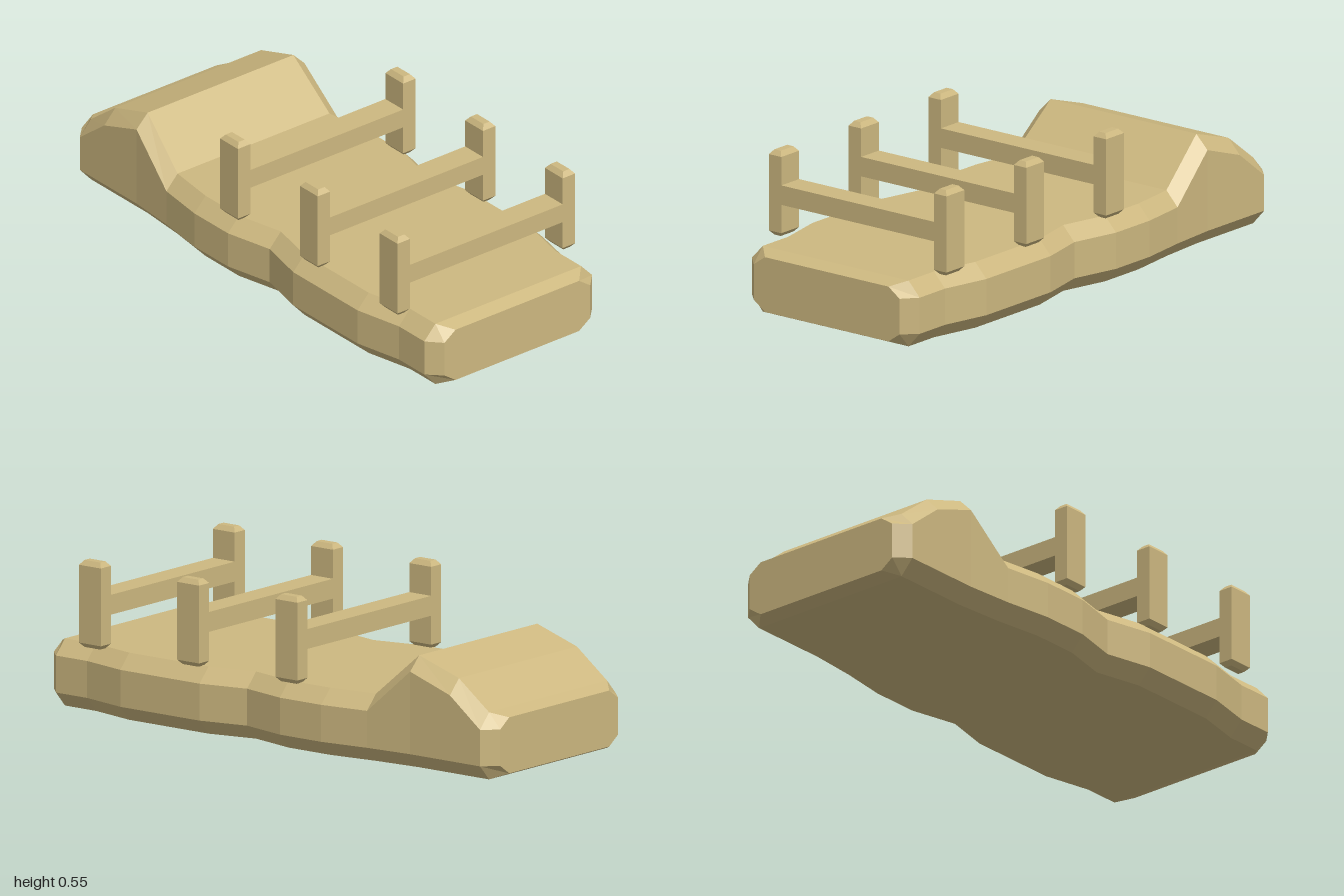
import * as THREE from 'three';

const material = new THREE.MeshStandardMaterial({ color: 0xcdb880, flatShading: true });

// Skin a list of equal-sized rings (counter-clockwise seen from the end they advance to) and cap both ends.
function loft(rings) {
  const n = rings[0].length, last = rings.length - 1, index = [];
  for (let r = 0; r < last; r++) {
    for (let i = 0; i < n; i++) {
      const a = r * n + i, b = r * n + (i + 1) % n;
      index.push(a, b, b + n, a, b + n, a + n);
    }
  }
  for (let i = 1; i < n - 1; i++) {
    index.push(0, i + 1, i);
    index.push(last * n, last * n + i, last * n + i + 1);
  }
  const g = new THREE.BufferGeometry();
  g.setAttribute('position', new THREE.Float32BufferAttribute(rings.flat(2), 3));
  g.setIndex(index);
  const flat = g.toNonIndexed();
  flat.computeVertexNormals();
  return flat;
}

// Chamfered slab section at depth z: half width, top height, shoulder height, bottom height
function slabSection([z, w, top, shoulder, bottom = 0]) {
  const c = 0.05, low = 0.055;
  return [
    [w - c, bottom, z], [w, low, z], [w, shoulder, z], [w - c, top, z],
    [c - w, top, z], [-w, shoulder, z], [-w, low, z], [c - w, bottom, z],
  ];
}

// Post with tapered tips
function postGeometry() {
  const ring = (y, hx, hz) => [[-hx, y, hz], [hx, y, hz], [hx, y, -hz], [-hx, y, -hz]];
  return loft([
    ring(0.238, 0.014, 0.035), ring(0.254, 0.028, 0.049),
    ring(0.532, 0.028, 0.049), ring(0.549, 0.014, 0.035),
  ]);
}

export function createModel() {
  const model = new THREE.Group();
  const add = (parent, name, geometry, x = 0, y = 0, z = 0) => {
    const mesh = new THREE.Mesh(geometry, material);
    mesh.name = name;
    mesh.position.set(x, y, z);
    parent.add(mesh);
  };

  // Waisted bed with a raised headrest at the back
  add(model, 'bed', loft([
    [-1, 0.328, 0.22, 0.185, 0.02],
    [-0.95, 0.378, 0.24, 0.185],
    [-0.815, 0.378, 0.343, 0.29],
    [-0.637, 0.378, 0.4, 0.35],
    [-0.455, 0.392, 0.24, 0.187],
    [-0.27, 0.417, 0.24, 0.187],
    [-0.085, 0.417, 0.24, 0.187],
    [0.095, 0.376, 0.24, 0.187],
    [0.275, 0.417, 0.24, 0.187],
    [0.63, 0.417, 0.24, 0.187],
    [0.81, 0.378, 0.24, 0.187],
    [0.95, 0.378, 0.24, 0.187],
    [1, 0.328, 0.22, 0.185, 0.02],
  ].map(slabSection)));

  // Three restraint frames: two posts joined by a crossbar
  const post = postGeometry();
  const bar = new THREE.BoxGeometry(0.7, 0.071, 0.098);
  for (const z of [0.78, 0.34, -0.1]) {
    const frame = new THREE.Group();
    frame.name = 'restraintFrame';
    frame.position.z = z;
    for (const side of [1, -1]) add(frame, side > 0 ? 'leftPost' : 'rightPost', post, side * 0.372);
    add(frame, 'crossbar', bar, 0, 0.393);
    model.add(frame);
  }
  return model;
}
